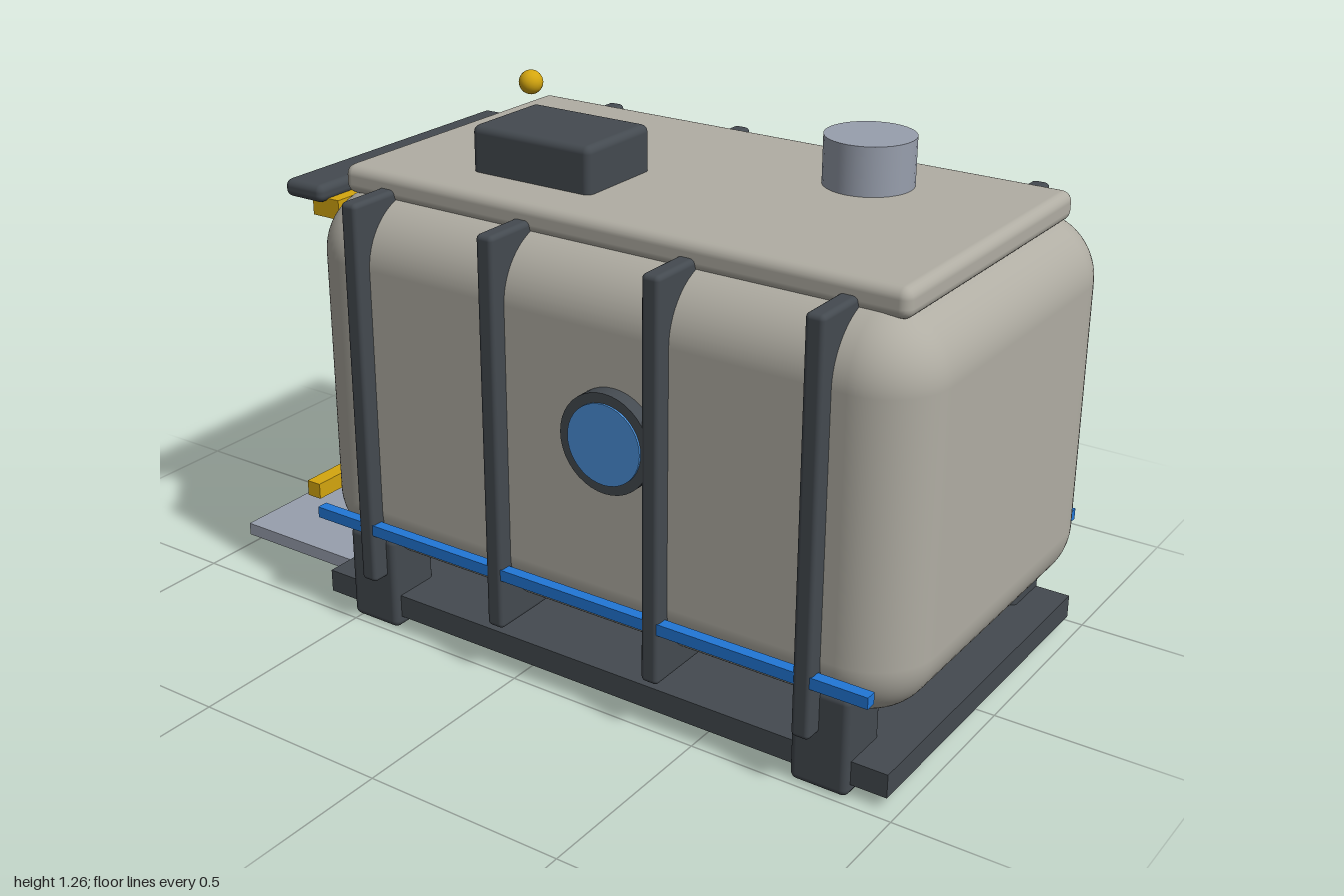
import * as THREE from 'three';
import { RoundedBoxGeometry } from 'three/addons/geometries/RoundedBoxGeometry.js';

const paint = (name, color) => {
  const m = new THREE.MeshStandardMaterial({ color });
  m.name = name;
  return m;
};

export function createModel() {
  const group = new THREE.Group();
  const shell = paint('warm grey shell', 0xb0ada3);
  const dark = paint('dark frame', 0x444a50);
  const steel = paint('steel', 0x989fad);
  const blue = paint('rail blue', 0x2277d6);
  const glass = paint('glass blue', 0x4a90d9);
  const yellow = paint('safety yellow', 0xd4a60f);

  const add = (name, geometry, material, x = 0, y = 0, z = 0) => {
    const mesh = new THREE.Mesh(geometry, material);
    mesh.name = name;
    mesh.position.set(x, y, z);
    group.add(mesh);
    return mesh;
  };
  // Box given by its limits on each axis; r rounds the edges
  const box = (name, material, [x0, x1], [y0, y1], [z0, z1], r = 0) => {
    const size = [x1 - x0, y1 - y0, z1 - z0];
    const geometry = r ? new RoundedBoxGeometry(...size, r > 0.1 ? 8 : 3, r) : new THREE.BoxGeometry(...size);
    return add(name, geometry, material, (x0 + x1) / 2, (y0 + y1) / 2, (z0 + z1) / 2);
  };

  // Cabin and roof
  box('cabinBody', shell, [-0.62, 1], [0.165, 1.09], [-0.49, 0.49], 0.155);
  box('roofSlab', shell, [-0.555, 0.925], [1.07, 1.14], [-0.395, 0.395], 0.025);

  // Hoops around the cabin
  for (const x of [-0.423, -0.032, 0.402, 0.788]) {
    box('hoop', dark, [x - 0.023, x + 0.023], [0.14, 1.103], [-0.528, 0.528], 0.012);
  }

  // Base plate and feet
  box('basePlate', dark, [-0.605, 0.972], [0.03, 0.088], [-0.468, 0.468]);
  for (const x of [-0.447, 0.812]) {
    for (const z of [-0.413, 0.413]) {
      box('foot', dark, [x - 0.072, x + 0.072], [0, 0.245], [z - 0.072, z + 0.072], 0.018);
    }
  }

  // Side rails and portholes
  for (const side of [1, -1]) {
    const z = side * 0.511;
    box('sideRail', blue, [-0.58, 0.945], [0.268, 0.296], [z - 0.014, z + 0.014]);

    const ring = add('portholeRing', new THREE.CylinderGeometry(0.118, 0.118, 0.06, 40), dark, 0.285, 0.693, side * 0.496);
    ring.rotation.x = Math.PI / 2;
    const pane = add('portholeGlass', new THREE.CylinderGeometry(0.095, 0.095, 0.008, 40), glass, 0.285, 0.693, side * 0.527);
    pane.rotation.x = Math.PI / 2;
  }

  // Door end
  box('doorFrame', dark, [-0.672, -0.608], [0.165, 0.985], [-0.31, 0.31], 0.015);
  box('doorPanel', glass, [-0.685, -0.66], [0.22, 0.92], [-0.27, 0.27]);
  box('lintelBar', yellow, [-0.69, -0.608], [0.983, 1.032], [-0.362, 0.362]);
  box('awning', dark, [-0.758, -0.638], [1.023, 1.067], [-0.388, 0.388], 0.018);
  box('doorHandle', yellow, [-0.695, -0.655], [0.262, 0.302], [0.24, 0.44]);
  box('ramp', steel, [-1, -0.57], [0.027, 0.06], [-0.362, 0.362]);

  // Roof equipment
  box('roofUnit', dark, [-0.273, 0.06], [1.12, 1.25], [0.025, 0.265], 0.018);
  add('vent', new THREE.CylinderGeometry(0.106, 0.106, 0.135, 32), steel, 0.522, 1.188, -0.172);
  add('beacon', new THREE.SphereGeometry(0.032, 20, 14), yellow, -0.567, 1.178, -0.34);

  return group;
}
